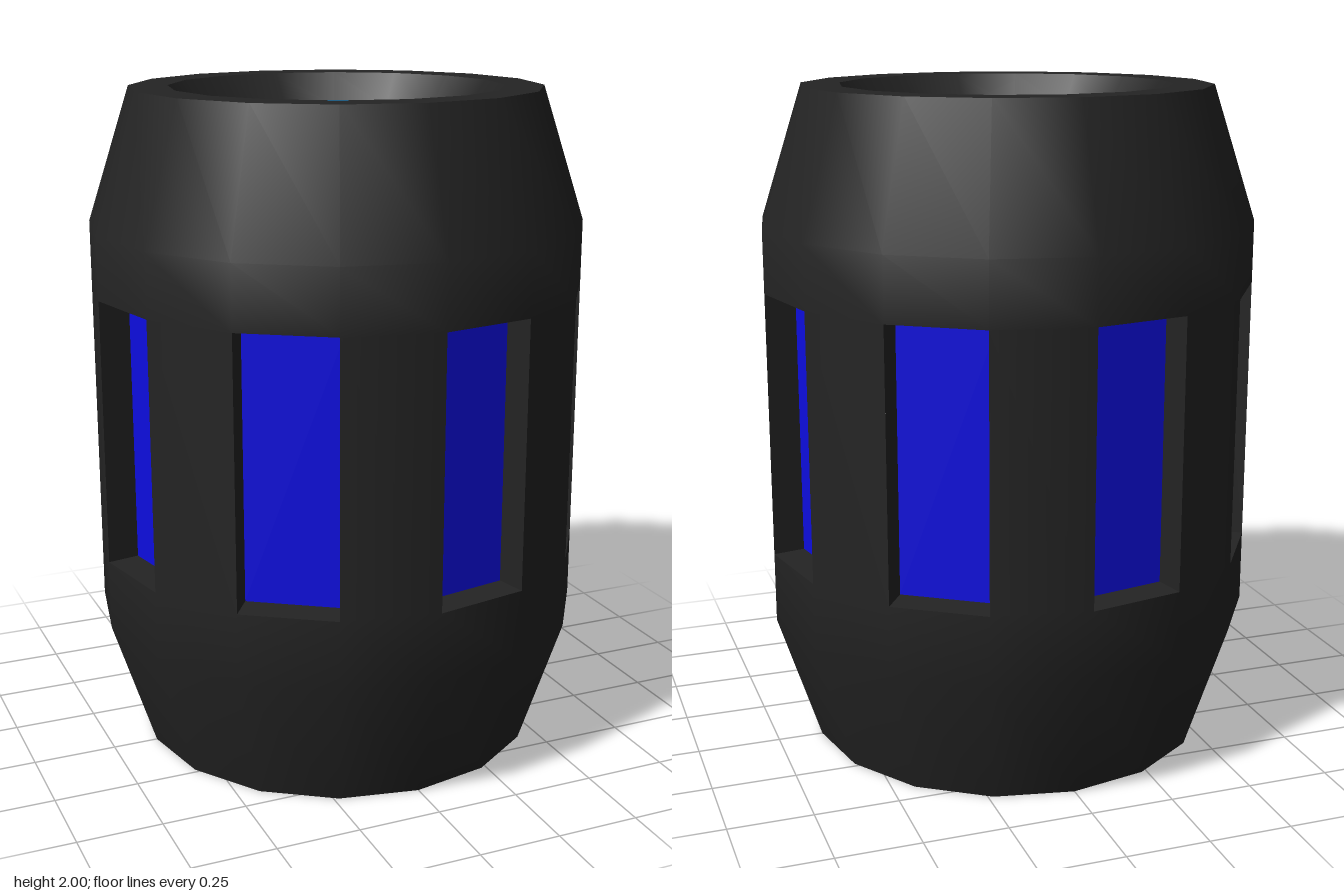
import * as THREE from 'three';

const SIDES = 16;
const R = 0.743;                 // widest radius
const WIN_LOW = 0.613, WIN_HIGH = 1.413, WIN_DEPTH = 0.097;

function material(name, color) {
  const m = new THREE.MeshStandardMaterial({ color });
  m.name = name;
  return m;
}

function lathe(name, profile, mat) {
  const points = profile.map(([r, y]) => new THREE.Vector2(r, y));
  const mesh = new THREE.Mesh(new THREE.LatheGeometry(points, SIDES), mat);
  mesh.name = name;
  return mesh;
}

// Flat-shaded quads, corners counter-clockwise from the front
function quads(name, list, mat) {
  const pos = list.flatMap(([a, b, c, d]) => [a, b, c, a, c, d].flat());
  const geo = new THREE.BufferGeometry();
  geo.setAttribute('position', new THREE.Float32BufferAttribute(pos, 3));
  geo.computeVertexNormals();
  const mesh = new THREE.Mesh(geo, mat);
  mesh.name = name;
  return mesh;
}

export function createModel() {
  const shell = material('black shell', 0x242424);
  const panel = material('deep blue panel', 0x0d0de0);
  const lens = material('light blue lens', 0x1090e0);
  const model = new THREE.Group();
  model.name = 'canister';

  // Outer wall, leaving every second face of the window band open
  const profile = [[0.613, 0], [R, 0.4], [R, WIN_LOW], [R, WIN_HIGH], [R, 1.6], [0.613, 2]];
  const wall = lathe('outerWall', profile, shell);
  const all = wall.geometry.index.array;
  const bands = profile.length - 1, kept = [];
  for (let i = 0; i < SIDES; i++) {
    for (let j = 0; j < bands; j++) {
      if (i % 2 === 0 && j === 2) continue;
      const start = (i * bands + j) * 6;
      kept.push(...all.slice(start, start + 6));
    }
  }
  wall.geometry.setIndex(kept);
  model.add(wall);

  // Base, top rim, sloped well and low domed lens
  model.add(lathe('base', [[0, 0], [0.613, 0]], shell));
  model.add(lathe('topRim', [[0.613, 2], [0.497, 2]], shell));
  model.add(lathe('wellWall', [[0.497, 2], [0.423, 1.9]], shell));
  model.add(lathe('lens', [[0.423, 1.9], [0.32, 1.922], [0.2, 1.938], [0.1, 1.945], [0, 1.947]], lens));

  // Recessed windows around the middle
  const half = R * Math.sin(Math.PI / SIDES);
  const face = R * Math.cos(Math.PI / SIDES);
  const ring = z => [[-half, WIN_LOW, z], [half, WIN_LOW, z], [half, WIN_HIGH, z], [-half, WIN_HIGH, z]];
  const outer = ring(face), inner = ring(face - WIN_DEPTH);
  for (let i = 0; i < SIDES; i += 2) {
    const win = new THREE.Group();
    win.name = 'window';
    const sides = outer.map((corner, k) => {
      const n = (k + 1) % 4;
      return [corner, outer[n], inner[n], inner[k]];
    });
    win.add(quads('windowRecess', sides, shell));
    win.add(quads('windowPanel', [inner], panel));
    win.rotation.y = (i + 0.5) * 2 * Math.PI / SIDES;
    model.add(win);
  }
  return model;
}
